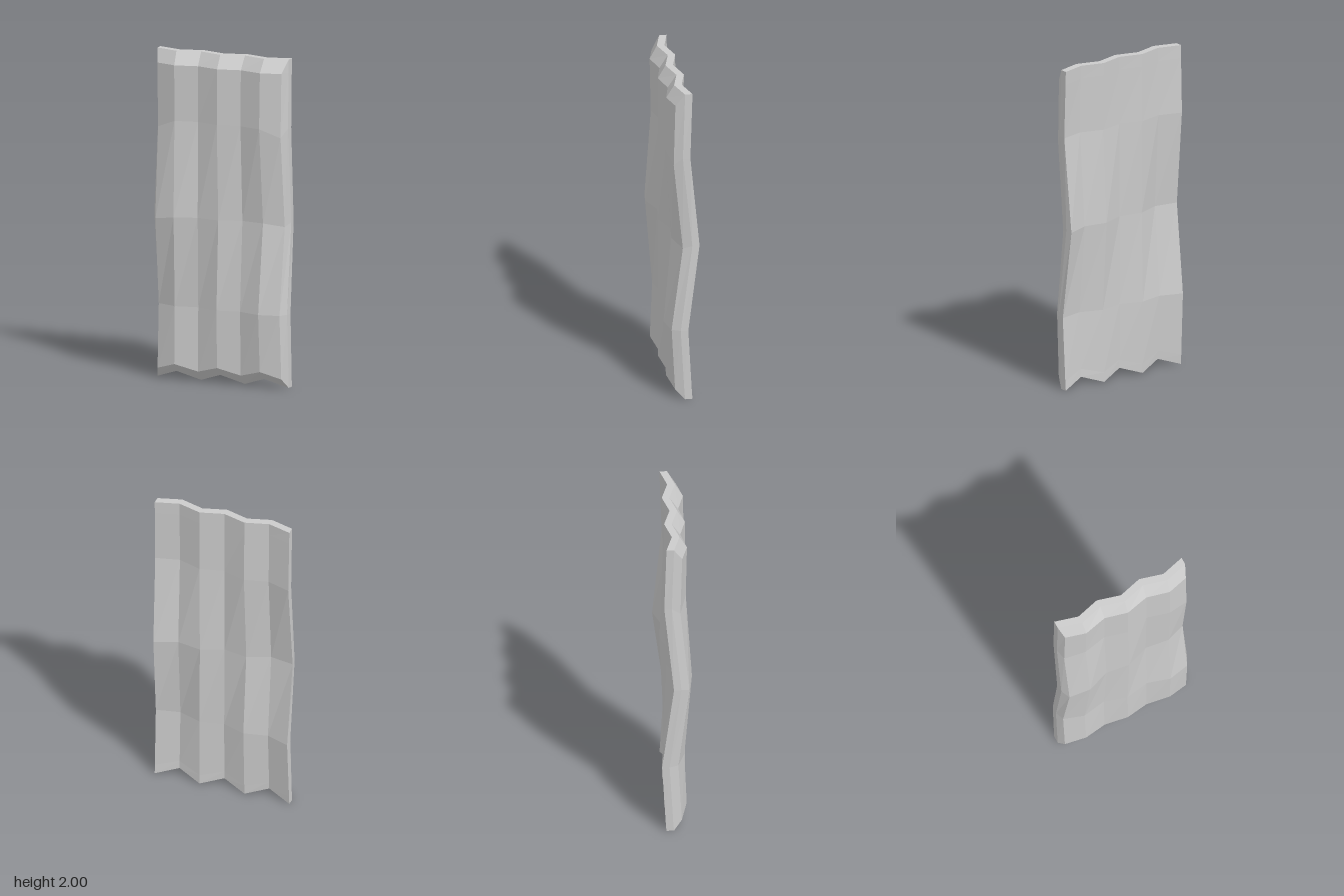
import * as THREE from 'three';

// One cross-section per row: height at ridge columns, height at groove columns,
// twist about y, and whether the front face is chamfered back to the rim.
const ROWS = [
  { y: 0, yOut: 0.05, twist: 0, rim: true },
  { y: 0.06, yOut: 0.1, twist: -0.01 },
  { y: 0.45, yOut: 0.45, twist: -0.06 },
  { y: 1, yOut: 1, twist: 0.104, edge: 0.98 },
  { y: 1.58, yOut: 1.58, twist: -0.03, edge: 1.53 },
  { y: 1.92, yOut: 1.92, twist: -0.005 },
  { y: 2, yOut: 2, twist: 0, rim: true },
];
const COLS = 7;
const columnX = (k) => (k - 3) * 0.1435;
const bulges = (k) => k % 2 === 1; // columns that stand forward

// Closed loop: left rim, 7 front points, right rim, then 7 back points right to left
function ring(row) {
  const pts = [];
  const add = (x, y, z) =>
    pts.push(new THREE.Vector3(x, y, z).applyAxisAngle(new THREE.Vector3(0, 1, 0), row.twist));
  const height = (k) => (bulges(k) ? row.yOut : row.y);

  add(columnX(0), row.y, -0.015);
  for (let k = 0; k < COLS; k++) {
    const edge = k === 0 || k === COLS - 1;
    if (row.rim) add(columnX(k), height(k), bulges(k) ? 0.025 : -0.015);
    else add(edge ? Math.sign(columnX(k)) * 0.407 : columnX(k) * 0.98,
      edge && row.edge ? row.edge : height(k), bulges(k) ? 0.071 : 0.037);
  }
  add(columnX(COLS - 1), row.y, -0.015);
  for (let k = COLS - 1; k >= 0; k--) add(columnX(k), height(k), bulges(k) ? -0.021 : -0.06);
  return pts;
}

function panelGeometry() {
  const rings = ROWS.map(ring);
  const n = rings[0].length;
  const positions = [];
  const tri = (a, b, c) => {
    // leave out the collapsed triangles at the chamfer corners
    if (a.distanceTo(b) < 1e-5 || b.distanceTo(c) < 1e-5 || c.distanceTo(a) < 1e-5) return;
    for (const p of [a, b, c]) positions.push(p.x, p.y, p.z);
  };
  const quad = (a, b, c, d) => { tri(a, b, c); tri(a, c, d); };

  // Walls between neighbouring cross-sections
  for (let j = 0; j < rings.length - 1; j++) {
    for (let i = 0; i < n; i++) {
      const m = (i + 1) % n;
      quad(rings[j][i], rings[j][m], rings[j + 1][m], rings[j + 1][i]);
    }
  }
  // Top and bottom ends
  const low = rings[0], high = rings[rings.length - 1];
  for (let k = 0; k < COLS - 1; k++) {
    const f = k + 1, b = n - 1 - k;
    quad(high[f], high[f + 1], high[b - 1], high[b]);
    quad(low[b], low[b - 1], low[f + 1], low[f]);
  }

  const geometry = new THREE.BufferGeometry();
  geometry.setAttribute('position', new THREE.Float32BufferAttribute(positions, 3));
  geometry.computeVertexNormals();
  return geometry;
}

export function createModel() {
  const group = new THREE.Group();
  group.name = 'corrugatedPanel';
  const panel = new THREE.Mesh(
    panelGeometry(),
    new THREE.MeshStandardMaterial({ color: 0xcccccc, flatShading: true })
  );
  panel.name = 'panel';
  group.add(panel);
  return group;
}
